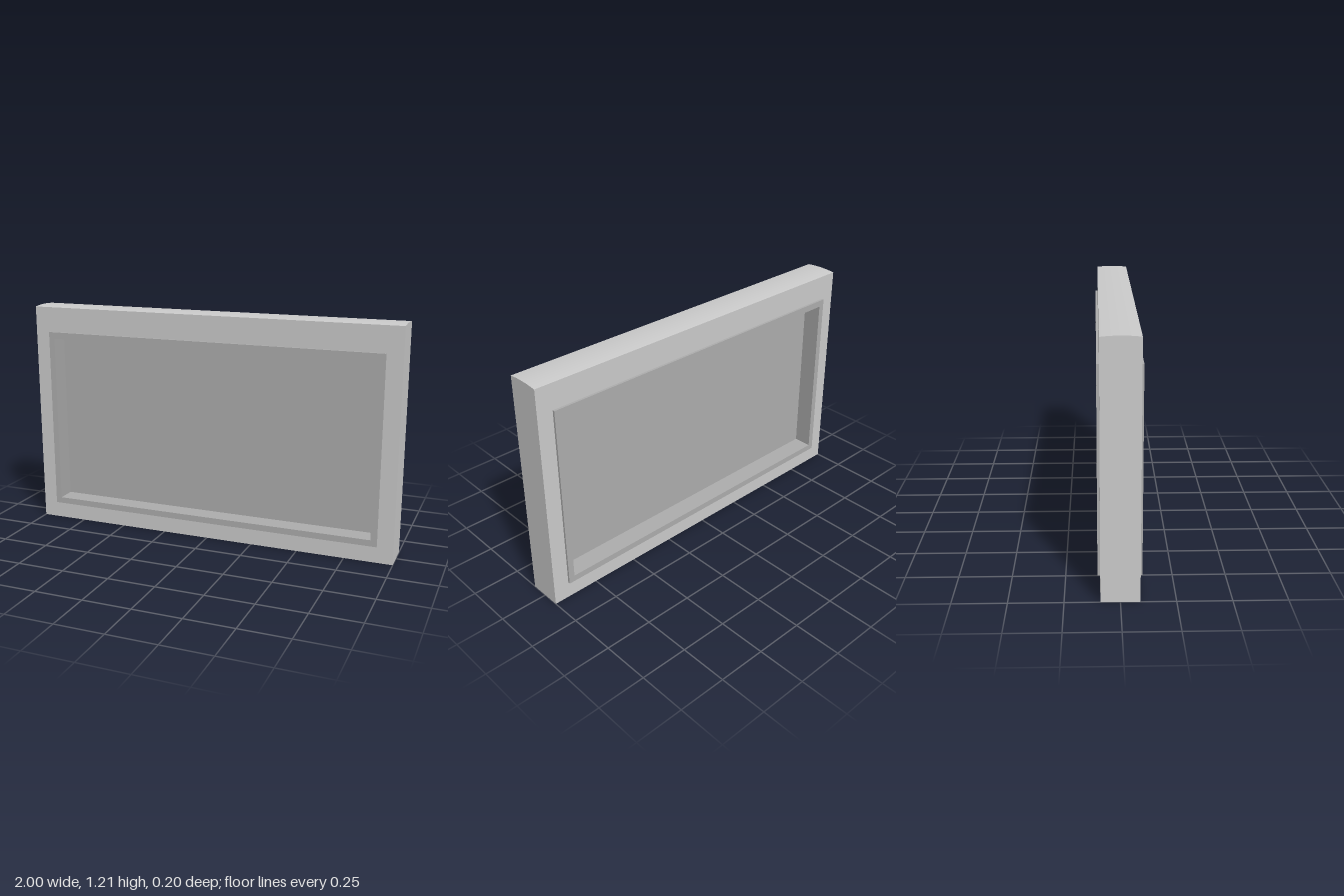
import * as THREE from 'three';
import { toCreasedNormals } from 'three/addons/utils/BufferGeometryUtils.js';

const frameMaterial = new THREE.MeshStandardMaterial({ color: 0xcccccc });
const trimMaterial = new THREE.MeshStandardMaterial({ color: 0xaeaeae });
const paneMaterial = new THREE.MeshStandardMaterial({ color: 0xaeaeae, side: THREE.DoubleSide });

// Rectangles: half width, bottom, top
const OUTER = [1, 0, 1.2];
const REBATE = [0.917, 0.088, 1.066];
const OPENING = [0.885, 0.121, 1.031];

function trace(path, [w, y0, y1]) {
  path.moveTo(-w, y0);
  path.lineTo(w, y0);
  path.lineTo(w, y1);
  path.lineTo(-w, y1);
  path.closePath();
  return path;
}

// Rectangular ring centred on z = 0
function ring(outer, inner, depth) {
  const shape = trace(new THREE.Shape(), outer);
  shape.holes.push(trace(new THREE.Path(), inner));
  const geometry = new THREE.ExtrudeGeometry(shape, { depth, bevelEnabled: false });
  return geometry.translate(0, 0, -depth / 2);
}

export function createModel() {
  const group = new THREE.Group();
  const add = (name, geometry, material) => {
    const mesh = new THREE.Mesh(geometry, material);
    mesh.name = name;
    group.add(mesh);
  };

  // Thick outer frame
  add('frame', ring(OUTER, REBATE, 0.178), frameMaterial);

  // Shallow arched top, swept along the width
  const arch = new THREE.Shape();
  arch.moveTo(-0.089, 1.2);
  arch.lineTo(0.089, 1.2);
  arch.quadraticCurveTo(0, 1.211, -0.089, 1.2);
  const cap = new THREE.ExtrudeGeometry(arch, { depth: 2, bevelEnabled: false, curveSegments: 8 });
  cap.translate(0, 0, -1).rotateY(Math.PI / 2);
  add('archedTop', toCreasedNormals(cap, 0.1), frameMaterial);

  // Inner trim, standing slightly proud on both faces
  add('innerTrim', ring(REBATE, OPENING, 0.202), trimMaterial);

  // Thin pane recessed at mid depth
  const [w, y0, y1] = OPENING;
  const pane = new THREE.PlaneGeometry(2 * w, y1 - y0).translate(0, (y0 + y1) / 2, 0);
  add('pane', pane, paneMaterial);

  return group;
}
